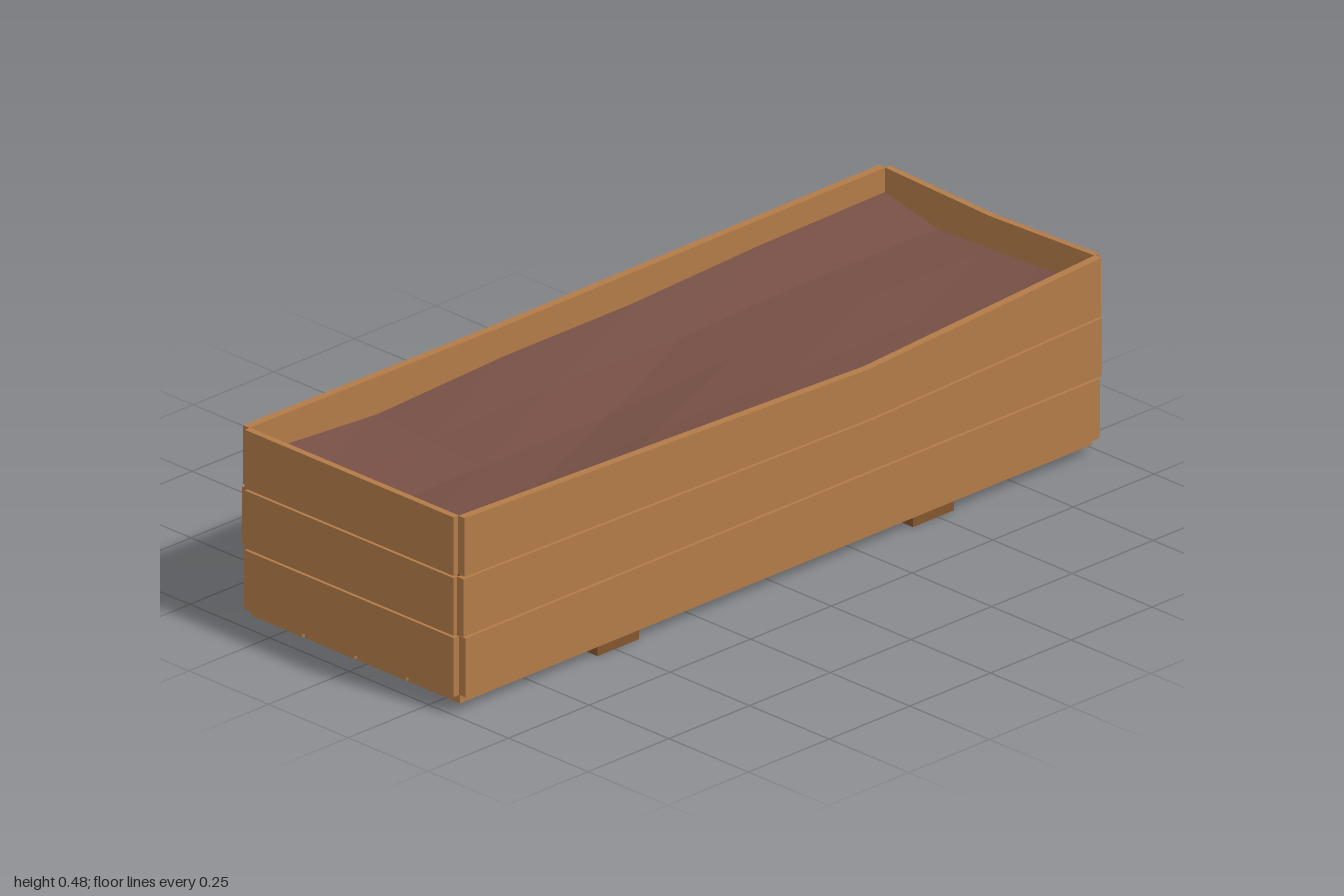
import * as THREE from 'three';

export function createModel() {
  const group = new THREE.Group();
  const wood = new THREE.MeshStandardMaterial({ color: 0xb27b48 });
  const darkWood = new THREE.MeshStandardMaterial({ color: 0x83552e });
  const soilColour = new THREE.MeshStandardMaterial({ color: 0x764f45 });
  wood.name = 'wood';
  darkWood.name = 'darkWood';
  soilColour.name = 'soil';

  const add = (name, geometry, material, x = 0, y = 0, z = 0) => {
    const mesh = new THREE.Mesh(geometry, material);
    mesh.name = name;
    mesh.position.set(x, y, z);
    group.add(mesh);
    return mesh;
  };

  // A plank whose edges sag to a low point at u = bend
  const plank = (half, thick, bottom, top, sagBottom, sagTop, bend) => {
    const shape = new THREE.Shape();
    shape.moveTo(-half, bottom);
    shape.lineTo(bend, bottom - sagBottom);
    shape.lineTo(half, bottom);
    shape.lineTo(half, top);
    shape.lineTo(bend, top - sagTop);
    shape.lineTo(-half, top);
    shape.closePath();
    const g = new THREE.ExtrudeGeometry(shape, { depth: thick, bevelEnabled: false });
    return g.translate(0, 0, -thick / 2);
  };

  // Three tiers of side planks; sags are [lower edge, upper edge]
  const tiers = [
    { bottom: 0.044, top: 0.187, half: 0.983, front: [0, 0], back: [0, 0.004], right: [0, 0.01], left: [0, 0] },
    { bottom: 0.192, top: 0.332, half: 0.989, front: [0, 0.019], back: [0.004, 0.006], right: [0.011, 0.01], left: [0, 0] },
    { bottom: 0.337, top: 0.479, half: 0.986, front: [0.019, 0.04], back: [0.006, 0.006], right: [0.01, 0.011], left: [0, 0] },
  ];
  for (const t of tiers) {
    add('frontPlank', plank(t.half, 0.02, t.bottom, t.top, ...t.front, 0.27), wood, 0, 0, 0.338);
    add('backPlank', plank(t.half, 0.02, t.bottom, t.top, ...t.back, -0.2), wood, 0, 0, -0.338);
    add('rightEndPlank', plank(0.328, 0.016, t.bottom, t.top, ...t.right, 0), wood, 0.992, 0, 0).rotation.y = Math.PI / 2;
    add('leftEndPlank', plank(0.328, 0.016, t.bottom, t.top, ...t.left, 0), wood, -0.992, 0, 0).rotation.y = Math.PI / 2;
  }

  // Floor boards and the two runners beneath
  const cuts = [-0.331, -0.163, 0, 0.163, 0.331];
  for (let i = 0; i < 4; i++) {
    const width = cuts[i + 1] - cuts[i] - 0.007;
    add('floorBoard', new THREE.BoxGeometry(1.96, 0.023, width), wood, 0, 0.0335, (cuts[i] + cuts[i + 1]) / 2);
  }
  for (const x of [-0.49, 0.487]) {
    add('runner', new THREE.BoxGeometry(0.128, 0.022, 0.655), darkWood, x, 0.011, 0);
  }

  // Soil block with an uneven, faceted top; rows run from back to front
  const heights = [
    [0.41, 0.385, 0.40, 0.40, 0.415, 0.42],
    [0.38, 0.375, 0.385, 0.375, 0.385, 0.385],
    [0.36, 0.365, 0.365, 0.38, 0.39, 0.39],
    [0.38, 0.37, 0.385, 0.385, 0.39, 0.395],
    [0.41, 0.40, 0.40, 0.395, 0.395, 0.41],
  ];
  const block = new THREE.BoxGeometry(1.966, 1, 0.656, 5, 1, 4);
  const p = block.attributes.position;
  for (let i = 0; i < p.count; i++) {
    const col = Math.round((p.getX(i) / 1.966 + 0.5) * 5);
    const row = Math.round((p.getZ(i) / 0.656 + 0.5) * 4);
    p.setY(i, p.getY(i) > 0 ? heights[row][col] : 0.047);
  }
  const soil = block.toNonIndexed();
  soil.computeVertexNormals();
  add('soil', soil, soilColour);

  return group;
}
